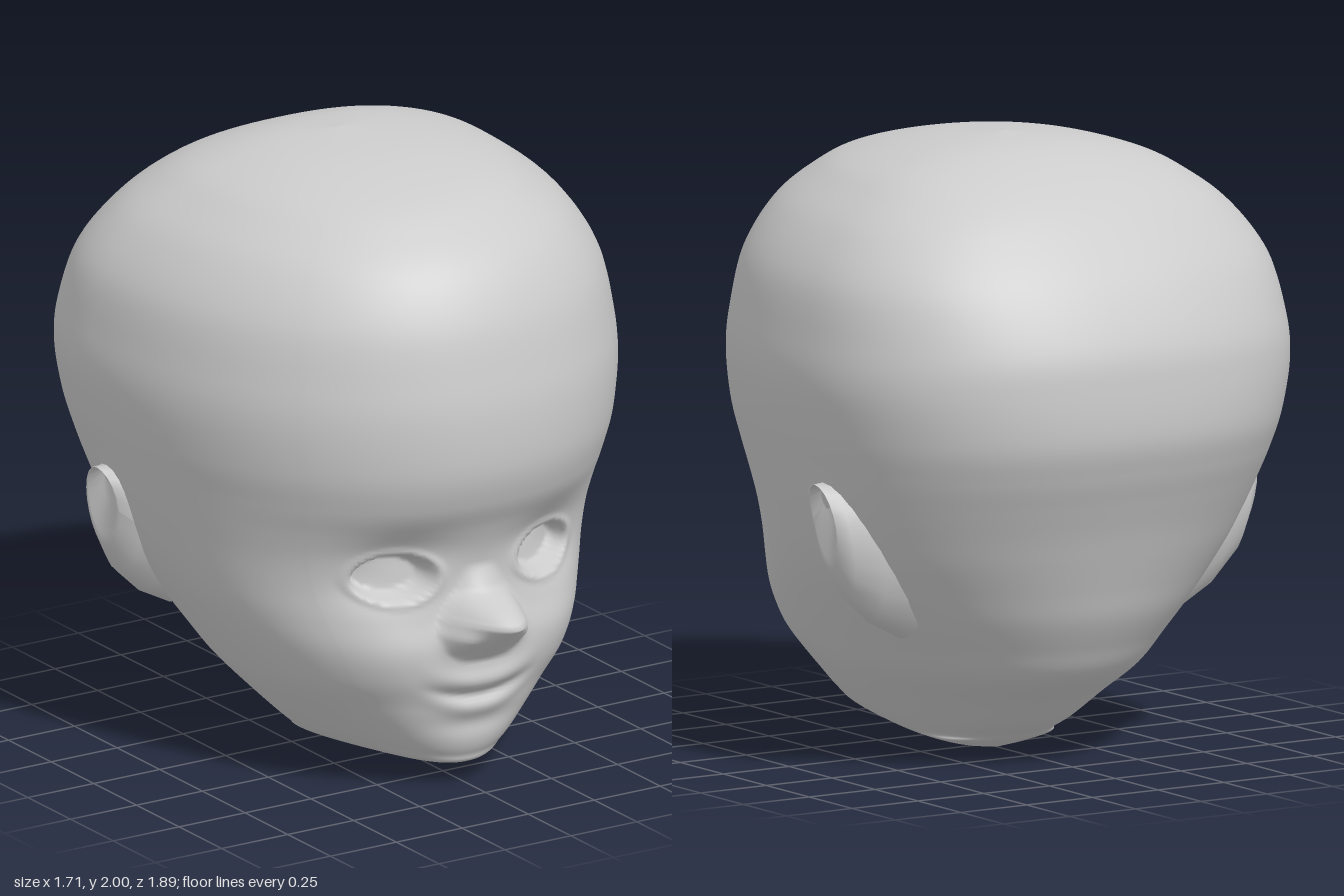
import * as THREE from 'three';

const { smoothstep, lerp } = THREE.MathUtils;
const material = new THREE.MeshStandardMaterial({ color: 0xcccccc });

// Horizontal sections: y, half width, front z, back z, z of the widest point
const SECTIONS = [
  [0.00, 0, -0.06, -0.06, -0.06],
  [0.015, 0.11, 0.02, -0.10, -0.05],
  [0.042, 0.21, 0.14, -0.17, -0.03],
  [0.064, 0.25, 0.59, -0.21, 0.08],
  [0.11, 0.31, 0.665, -0.30, 0.14],
  [0.20, 0.40, 0.70, -0.42, 0.14],
  [0.30, 0.485, 0.715, -0.56, 0.10],
  [0.40, 0.55, 0.74, -0.63, 0.05],
  [0.50, 0.61, 0.745, -0.69, 0.00],
  [0.60, 0.665, 0.725, -0.73, -0.05],
  [0.70, 0.71, 0.715, -0.77, -0.10],
  [0.80, 0.745, 0.73, -0.81, -0.13],
  [0.90, 0.775, 0.77, -0.855, -0.15],
  [1.00, 0.80, 0.825, -0.90, -0.17],
  [1.12, 0.83, 0.862, -0.938, -0.18],
  [1.28, 0.855, 0.868, -0.94, -0.20],
  [1.42, 0.845, 0.85, -0.918, -0.20],
  [1.60, 0.805, 0.805, -0.83, -0.20],
  [1.75, 0.705, 0.72, -0.71, -0.18],
  [1.85, 0.585, 0.60, -0.60, -0.15],
  [1.92, 0.46, 0.46, -0.47, -0.12],
  [1.975, 0.26, 0.20, -0.30, -0.10],
  [2.00, 0, -0.10, -0.10, -0.10],
];

// Nose: height against projection and half width
const NOSE = [
  [0.45, 0, 0.10], [0.50, 0.065, 0.145], [0.55, 0.14, 0.165], [0.60, 0.22, 0.15],
  [0.635, 0.175, 0.13], [0.68, 0.05, 0.10], [0.76, 0.0, 0.06],
];
const noseCurve = new THREE.LinearInterpolant(
  NOSE.map((p) => p[0]), NOSE.flatMap((p) => [p[1], p[2]]), 2, new Float32Array(2));

const bump = (dx, dy, sx, sy) => Math.exp(-((dx / sx) ** 2) - (dy / sy) ** 2);

// Forward or backward offset of the face surface at (x, y)
function faceRelief(x, y) {
  const ax = Math.abs(x);
  let d = 0;

  // Nose and nostril wings
  if (y > 0.45 && y < 0.76) {
    const [height, width] = noseCurve.evaluate(y);
    const u = Math.min(1, ax / width);
    d += height * (1 - u * u) ** 1.25;
  }
  d += 0.03 * bump(ax - 0.115, y - 0.54, 0.04, 0.045);

  // Eye socket, raised lid rim and recessed eye opening
  const dx = ax - 0.28;
  const dy = y - 0.745;
  d -= 0.035 * bump(dx, y - 0.83, 0.15, 0.08) + 0.02 * bump(ax - 0.36, y - 0.72, 0.10, 0.07);
  const e = (dx / 0.125) ** 2 + (dy / 0.077) ** 2;
  d += 0.008 * Math.exp(-(((e - 1.3) / 0.3) ** 2));
  d -= 0.07 * (1 - smoothstep(e, 0.55, 1.08));

  // Lips along a smiling line, with a hollow above the chin
  const my = y - 0.325 - 1.1 * x * x;
  const span = 1 - smoothstep(ax, 0.03, 0.25);
  d += span * (0.018 * bump(0, my - 0.05, 1, 0.035) - 0.016 * bump(0, my, 1, 0.02)
    + 0.014 * bump(0, my + 0.045, 1, 0.03));
  d -= 0.012 * bump(x, y - 0.22, 0.16, 0.035);

  // Cheeks
  d += 0.02 * bump(ax - 0.34, y - 0.50, 0.14, 0.15);
  return d;
}

// Head lofted through the sections, with columns packed more closely on the face
function headGeometry() {
  const STEPS = 8, FACE = 44, REST = 36, HALF = FACE + REST, COLS = HALF * 2;
  const spline = new THREE.CubicInterpolant(
    SECTIONS.map((_, i) => i), SECTIONS.flat(), 5, new Float32Array(5));
  const rows = (SECTIONS.length - 1) * STEPS;
  const positions = [], indices = [];

  for (let r = 0; r <= rows; r++) {
    const [y, width, front, back, mid] = spline.evaluate(r / STEPS);
    // Fuller corners at the cheeks and at the back of the skull
    const backPower = 2 / lerp(2.05, 2.35, smoothstep(y, 0.3, 1.1));
    const frontPower = 2 / (2.1 + 0.27 * bump(0, y - 0.43, 1, 0.3));
    for (let c = 0; c < COLS; c++) {
      const side = c <= HALF ? 1 : -1;
      const k = c <= HALF ? c : COLS - c;
      const angle = k <= FACE ? 0.75 * k / FACE
        : 0.75 + (Math.PI - 0.75) * (k - FACE) / REST;
      const s = Math.max(0, Math.sin(angle)), co = Math.cos(angle);
      const power = co > 0 ? frontPower : backPower;
      const x = side * width * s ** power;
      const reach = Math.abs(co) ** power;
      let z = mid + reach * (co > 0 ? front - mid : back - mid);
      if (co > 0.3) z += faceRelief(x, y) * smoothstep(co, 0.3, 0.6);
      // Jaw line rising to both sides of the chin
      const lift = Math.max(0, co) * (1 - smoothstep(y, 0.08, 0.4)) * smoothstep(y, 0.04, 0.065);
      positions.push(x, y + 0.7 * x * x * lift, z);
    }
  }
  for (let r = 0; r < rows; r++) {
    for (let c = 0; c < COLS; c++) {
      const n = (c + 1) % COLS;
      const a = r * COLS + c, b = r * COLS + n;
      indices.push(a, b, a + COLS, b, b + COLS, a + COLS);
    }
  }
  const geometry = new THREE.BufferGeometry();
  geometry.setAttribute('position', new THREE.Float32BufferAttribute(positions, 3));
  geometry.setIndex(indices);
  geometry.computeVertexNormals();
  return geometry;
}

// Ear: a soft swelling with a small cup near its top, nearly flush in front
function earGeometry(side) {
  const profile = [[1.5, 0.57], [1.2, 0.68], [0.9, 0.75], [0.66, 0.775], [0.56, 0.77],
    [0.3, 0.725], [0.001, 0.71]].map((p) => new THREE.Vector2(...p));
  const geometry = new THREE.LatheGeometry(profile, 20);
  geometry.rotateZ(-side * Math.PI / 2);
  const p = geometry.attributes.position;
  for (let i = 0; i < p.count; i++) {
    const u = p.getY(i), v = p.getZ(i);
    const radius = Math.min(1, Math.hypot(u, v));
    const y = 0.75 + 0.21 * u + 0.20 * (1 - radius);
    const z = -0.27 + v * (0.125 + 0.015 * u) + 0.02 * u;
    const out = 0.16 * (y - 0.75) + 0.025 * Math.max(0, 1 - u * u)
      - (v > 0 ? 0.07 : 0.03) * v * v;
    p.setXYZ(i, p.getX(i) + side * out, y, z);
  }
  geometry.computeVertexNormals();
  return geometry;
}

export function createModel() {
  const model = new THREE.Group();
  model.name = 'babyHead';

  const head = new THREE.Mesh(headGeometry(), material);
  head.name = 'head';
  model.add(head);

  for (const [name, side] of [['leftEar', 1], ['rightEar', -1]]) {
    const ear = new THREE.Mesh(earGeometry(side), material);
    ear.name = name;
    model.add(ear);
  }
  return model;
}
